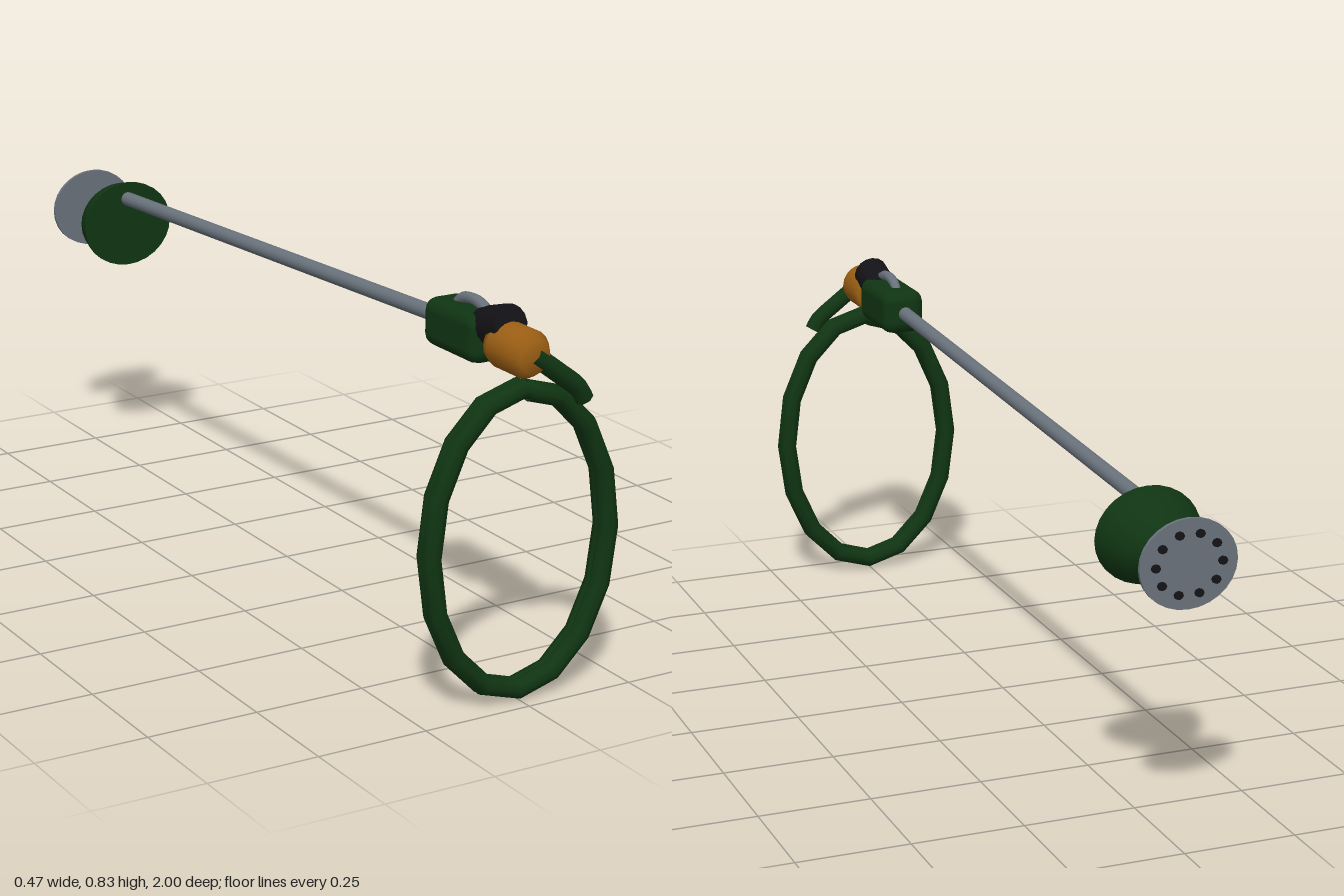
import * as THREE from 'three';
import { RoundedBoxGeometry } from 'three/addons/geometries/RoundedBoxGeometry.js';

export function createModel() {
  const group = new THREE.Group();
  const mat = (name, color, side = THREE.FrontSide) =>
    Object.assign(new THREE.MeshStandardMaterial({ color, side }), { name });
  const green = mat('dark green', 0x103513);
  const hoseGreen = mat('hose green', 0x103513, THREE.DoubleSide);
  const steel = mat('steel grey', 0x6a737d);
  const brass = mat('brass', 0x9c5f14);
  const black = mat('black', 0x131317);

  const v = (x, y, z) => new THREE.Vector3(x, y, z);
  const add = (name, geometry, material, x = 0, y = 0, z = 0) => {
    const mesh = new THREE.Mesh(geometry, material);
    mesh.name = name;
    mesh.position.set(x, y, z);
    group.add(mesh);
    return mesh;
  };
  // Turned part whose axis runs along z; profile pairs are [radius, z]
  const turned = (profile, sides) => {
    const pts = profile.map(([r, z]) => new THREE.Vector2(r, z));
    return new THREE.LatheGeometry(pts, sides).rotateX(Math.PI / 2);
  };

  // Hanging hose: two turns of an oval coil drifting along z
  class Coil extends THREE.Curve {
    getPoint(t, target = new THREE.Vector3()) {
      const a = t * Math.PI * 4;
      return target.set(0.213 * Math.sin(a), 0.345 + 0.323 * Math.cos(a), 0.962 - 0.03 * t);
    }
    getPointAt(t, target) { return this.getPoint(t, target); }
    getTangentAt(t, target) { return this.getTangent(t, target); }
  }
  add('hoseCoil', new THREE.TubeGeometry(new Coil(), 32, 0.022, 8), hoseGreen);

  // Short hose end from the coupling to the coil
  const tail = new THREE.CatmullRomCurve3([
    v(0.005, 0.745, 0.976), v(0.065, 0.7, 0.978), v(0.115, 0.66, 0.978), v(0.13, 0.636, 0.976)]);
  add('hoseTail', new THREE.TubeGeometry(tail, 12, 0.021, 8), hoseGreen);

  // Brass coupling
  add('coupling', turned([[0, -0.065], [0.045, -0.065], [0.051, -0.045], [0.051, 0.03],
    [0.036, 0.055], [0, 0.055]], 20), brass, 0, 0.745, 0.935);

  // Tilted valve knob
  const knob = add('valveKnob', turned([[0, -0.06], [0.034, -0.06], [0.042, -0.035],
    [0.042, 0.05], [0.036, 0.056], [0, 0.056]], 16), black, 0, 0.775, 0.85);
  knob.rotation.x = -0.3;

  // Handle body and wire bail above it
  add('handle', new RoundedBoxGeometry(0.104, 0.104, 0.2, 2, 0.028), green, 0, 0.743, 0.745);
  const bail = new THREE.CatmullRomCurve3([
    v(0, 0.77, 0.695), v(0, 0.8, 0.72), v(0, 0.81, 0.765), v(0, 0.8, 0.81), v(0, 0.77, 0.85)]);
  add('bail', new THREE.TubeGeometry(bail, 16, 0.012, 8), steel);

  // Long wand pipe, sloping down to the spray head
  const start = v(0, 0.744, 0.68), end = v(0, 0.682, -0.83);
  const dir = end.clone().sub(start);
  const pipe = add('pipe', new THREE.CylinderGeometry(0.017, 0.017, dir.length(), 12), steel);
  pipe.position.copy(start).addScaledVector(dir, 0.5);
  pipe.quaternion.setFromUnitVectors(v(0, 1, 0), dir.normalize());

  // Domed spray head
  const head = add('sprayHead', turned([[0, -0.125], [0.03, -0.124], [0.055, -0.105], [0.085, -0.08],
    [0.106, -0.045], [0.113, -0.018], [0.117, -0.006], [0.117, 0], [0.117, 0], [0, 0]], 28),
    green, 0, 0.62, -0.793);
  head.scale.y = 0.89;

  // Perforated face plate with its ring of dark holes
  const plate = new THREE.Group();
  plate.name = 'facePlate';
  plate.position.set(0, 0.62, -0.99);
  plate.scale.y = 0.89;
  group.add(plate);
  const disc = new THREE.Mesh(new THREE.CylinderGeometry(0.107, 0.107, 0.008, 28).rotateX(Math.PI / 2), steel);
  disc.name = 'plateDisc';
  plate.add(disc);
  const holeGeo = new THREE.CylinderGeometry(0.01, 0.01, 0.006, 8).rotateX(Math.PI / 2);
  for (let i = 0; i < 10; i++) {
    const a = (i / 10) * Math.PI * 2;
    const hole = new THREE.Mesh(holeGeo, black);
    hole.name = 'sprayHole';
    hole.position.set(0.073 * Math.cos(a), 0.073 * Math.sin(a), -0.007);
    plate.add(hole);
  }
  return group;
}
